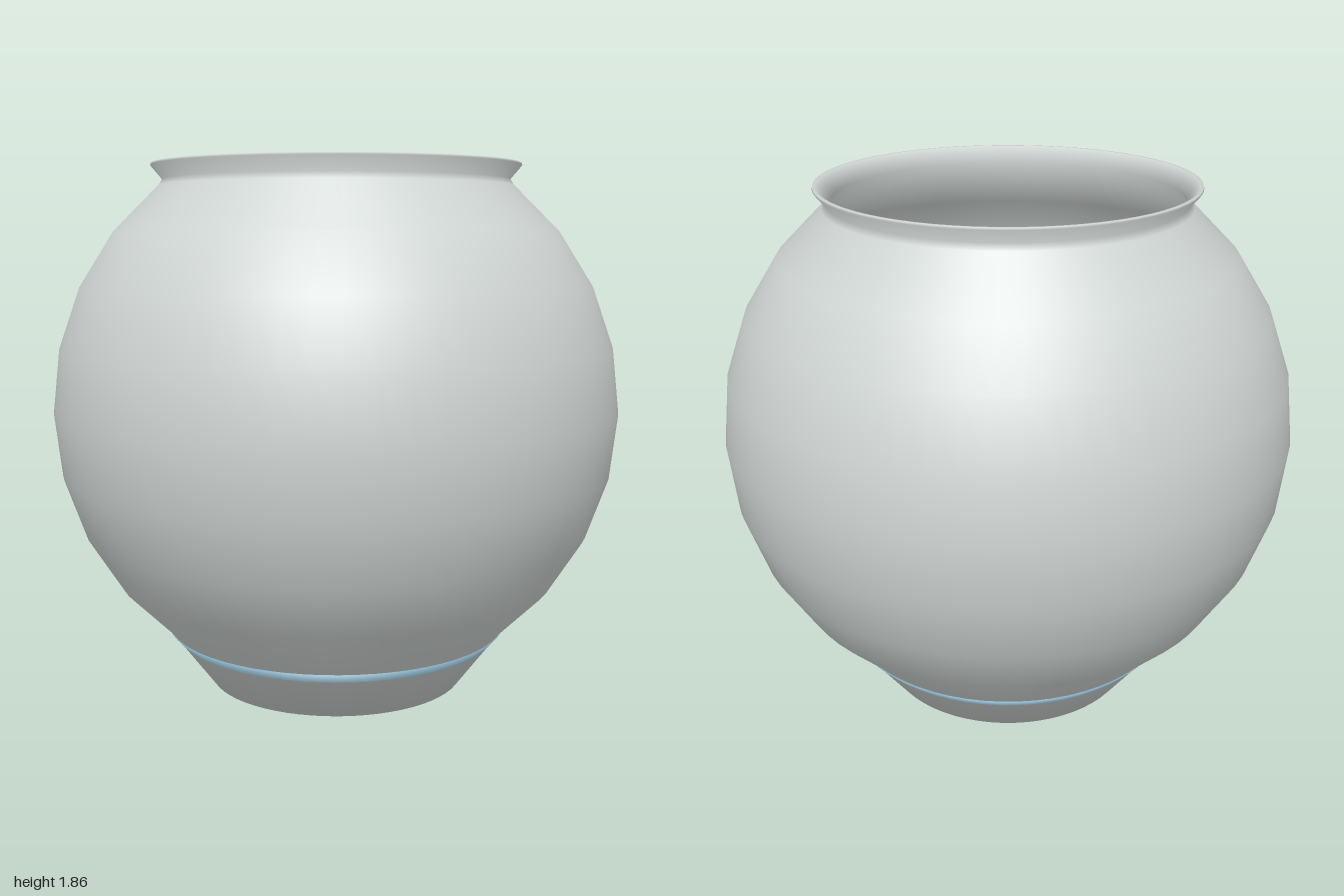
import * as THREE from 'three';

const glass = new THREE.MeshStandardMaterial({ name: 'pale grey glass', color: 0xd0d6d4 });
const blue = new THREE.MeshStandardMaterial({ name: 'water blue', color: 0x8cb4c8 });
const SEGMENTS = 64;

// Point on the coarse round profile: step k up or down from the middle, scaled by s
function ring(k, s = 1) {
  const a = k * Math.PI / 14;
  return [s * Math.cos(a), 1 + s * Math.sin(a)];
}

// Turned part whose normals average the two neighbouring profile segments equally
function turned(name, profile, material) {
  const geometry = new THREE.LatheGeometry(profile.map(p => new THREE.Vector2(...p)), SEGMENTS);
  const facing = profile.slice(1).map(([x, y], i) =>
    new THREE.Vector2(y - profile[i][1], profile[i][0] - x).normalize());
  const n = profile.length;
  for (let j = 0; j < n; j++) {
    const v = facing[Math.max(j - 1, 0)].clone().add(facing[Math.min(j, n - 2)]).normalize();
    for (let i = 0; i <= SEGMENTS; i++) {
      const a = i / SEGMENTS * Math.PI * 2;
      geometry.attributes.normal.setXYZ(i * n + j, v.x * Math.sin(a), v.y, v.x * Math.cos(a));
    }
  }
  const mesh = new THREE.Mesh(geometry, material);
  mesh.name = name;
  return mesh;
}

export function createModel() {
  const model = new THREE.Group();
  model.name = 'fishbowl';

  // Bowl: foot, round outside, flared lip, then back down the inside
  const outside = [], inside = [], body = [];
  for (let k = -4; k <= 4; k++) outside.push(ring(k));
  for (let k = 3; k >= -4; k--) inside.push(ring(k, 0.985));
  model.add(turned('bowl', [
    [0, 0], [0.46, 0],
    ...outside,
    [0.61, 1.803], [0.65, 1.85], [0.648, 1.857], [0.638, 1.857], [0.595, 1.8],
    ...inside,
    [0.44, 0.015], [0, 0.015],
  ], glass));

  // Water: fills the bowl up to a flat surface
  for (let k = -4; k <= 2; k++) body.push(ring(k, 0.98));
  model.add(turned('water', [[0, 0.02], [0.433, 0.02], ...body, [0, body.at(-1)[1]]], blue));

  // Thin blue band showing around the top of the foot
  model.add(turned('footBand', [[0.566, 0.145], [0.614, 0.199], [0.6, 0.2]], blue));

  return model;
}
